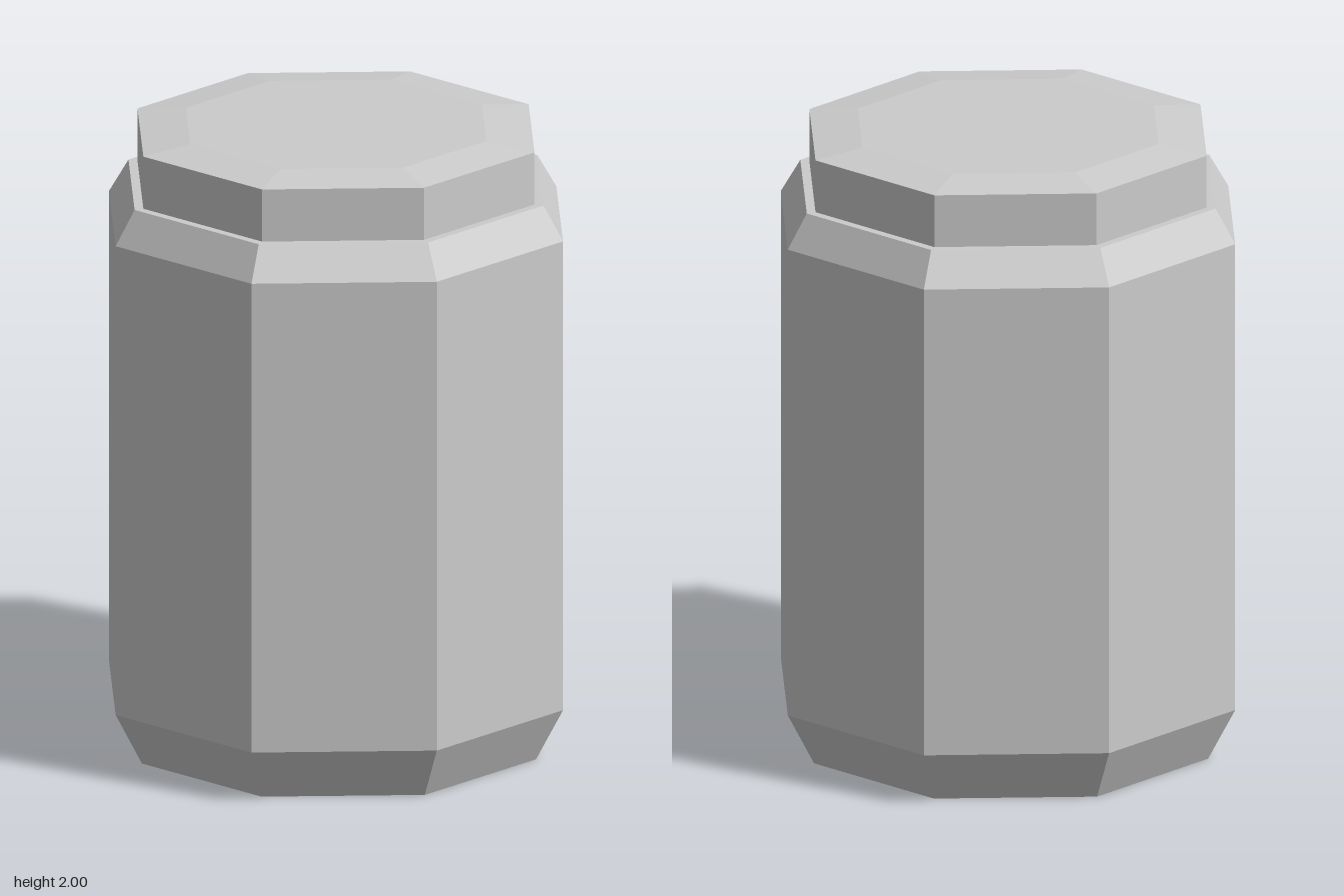
import * as THREE from 'three';

// Body profile rows: [v, radius, height]; v is the running coordinate along the wall
// (-1..0 is the base, 0..1.81 the wall by height, above that the flat rim).
const PROFILE = [
  [-1, 0, 0], [0, 0.665, 0], [0.17, 0.755, 0.17], [1.7, 0.755, 1.7], [1.81, 0.69, 1.81], [2, 0.5, 1.81],
];

// Crack lines on the unrolled octagon: u counts corners from the front (+z) towards +x.
const A = [7.466, 1.39], B = [11.07, 1.1], C = [11.75, 0.9], D = [6.34, 0.84];
const shift = (pts, d) => pts.map(([u, v]) => [u + d, v]);
const upFront = [A, [7.345, 1.7], [7.293, 1.81], [7.293, 2]];
const upSide = [B, [10.805, 1.7], [10.81, 1.81], [10.81, 2]];
const upBack = [B, [11.71, 1.7], [11.8, 1.81], [11.8, 2]];
const downSide = [[10.37, 0.99], [10, 0.33], [9.93, 0.17], [9.85, 0], [9.85, -1]];
const downBack = [C, [11.75, 0.17], [11.79, 0], [11.79, -1]];
const downLeft = [D, [6.57, 0.17], [6.59, 0], [6.59, -1]];
const ringFront = [A, [8, 1.36], [9, 1.2], [10, 1.02], [10.37, 0.99]];
const ringBack = [C, [12, 0.89], [13, 0.846], [14, 0.83], [14.34, 0.84]];
const ringLeft = [D, [7, 1.185], A];
const back = (pts) => [...pts].reverse();

// Each shard is a counter-clockwise outline
const SHARDS = {
  upperFrontShard: [...ringFront, ...upSide, ...back(upFront)],
  upperSideShard: [...upBack, ...back(upSide)],
  upperBackShard: [B, ...ringBack, ...shift(ringLeft, 8), ...shift(upFront, 8), ...back(upBack)],
  lowerSideShard: [...back(downSide), B, ...downBack],
  lowerBackShard: [...back(downBack), ...ringBack, ...shift(downLeft, 8)],
  lowerFrontShard: [...back(downLeft), ...ringLeft, ...ringFront, ...downSide],
};

// Keep the part of an outline where sign * (p[axis] - limit) >= 0
function clip(poly, axis, limit, sign) {
  const out = [];
  poly.forEach((p, i) => {
    const q = poly[(i + 1) % poly.length];
    const a = sign * (p[axis] - limit), b = sign * (q[axis] - limit);
    if (a >= 0) out.push(p);
    if ((a > 0 && b < 0) || (a < 0 && b > 0)) {
      const t = a / (a - b);
      out.push([p[0] + (q[0] - p[0]) * t, p[1] + (q[1] - p[1]) * t]);
    }
  });
  return out;
}

// Wrap an outline onto the eight-sided body, one flat facet at a time
function shardGeometry(outline) {
  const pos = [];
  for (let k = 6; k < 16; k++) {
    for (let j = 0; j < PROFILE.length - 1; j++) {
      const [v0, r0, y0] = PROFILE[j], [v1, r1, y1] = PROFILE[j + 1];
      let p = clip(clip(outline, 0, k, 1), 0, k + 1, -1);
      p = clip(clip(p, 1, v0, 1), 1, v1, -1);
      p = p.filter((a, i) => {
        const b = p[(i + 1) % p.length];
        return Math.hypot(a[0] - b[0], a[1] - b[1]) > 1e-6;
      });
      if (p.length < 3) continue;
      const a0 = k * Math.PI / 4, a1 = a0 + Math.PI / 4;
      const place = ([u, v]) => {
        const t = (v - v0) / (v1 - v0), r = r0 + (r1 - r0) * t, f = u - k;
        return [
          r * (Math.sin(a0) * (1 - f) + Math.sin(a1) * f),
          y0 + (y1 - y0) * t,
          r * (Math.cos(a0) * (1 - f) + Math.cos(a1) * f),
        ];
      };
      const flat = p.map(([u, v]) => new THREE.Vector2(u, v));
      for (const tri of THREE.ShapeUtils.triangulateShape(flat, [])) {
        for (const i of tri) pos.push(...place(p[i]));
      }
    }
  }
  const g = new THREE.BufferGeometry();
  g.setAttribute('position', new THREE.Float32BufferAttribute(pos, 3));
  g.computeVertexNormals();
  return g;
}

export function createModel() {
  const model = new THREE.Group();
  model.name = 'crackedJar';
  const material = new THREE.MeshStandardMaterial({ color: 0xcccccc, flatShading: true });

  // Jar body, made of fitted shards
  const body = new THREE.Group();
  body.name = 'body';
  for (const [name, outline] of Object.entries(SHARDS)) {
    const shard = new THREE.Mesh(shardGeometry(outline), material);
    shard.name = name;
    body.add(shard);
  }
  model.add(body);

  // Octagonal lid with a slightly raised top
  const lidProfile = [[0, 1.81], [0.66, 1.81], [0.66, 1.98], [0.5, 2], [0, 2]];
  const lid = new THREE.Mesh(
    new THREE.LatheGeometry(lidProfile.map(([r, y]) => new THREE.Vector2(r, y)), 8), material);
  lid.name = 'lid';
  model.add(lid);
  return model;
}
